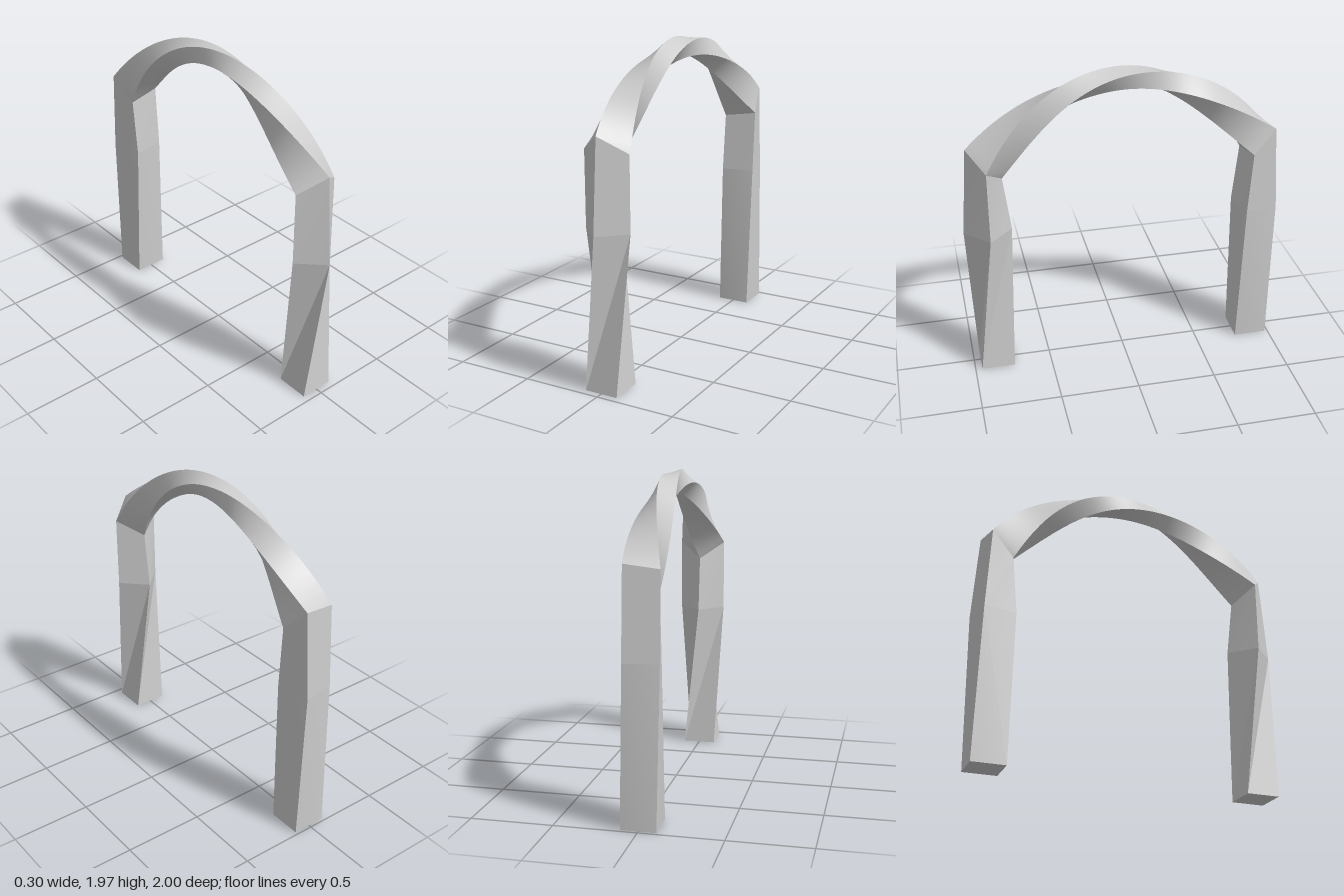
import * as THREE from 'three';
import { toCreasedNormals } from 'three/addons/utils/BufferGeometryUtils.js';

const DEG = Math.PI / 180;
const R = 0.15; // half diagonal of the square bar
const FRONT_Z = 0.85, BACK_Z = -0.875;

// Square section: centre (y, z), lean of its outward axis, twist and half diagonal
function section(y, z, lean, twist, radius = R) {
  return [0, 1, 2, 3].map((i) => {
    const a = (twist + i * 90) * DEG;
    const out = Math.sin(a) * radius;
    return new THREE.Vector3(
      Math.cos(a) * radius,
      y + out * Math.sin(lean * DEG),
      z + out * Math.cos(lean * DEG)
    );
  });
}

// Skin a run of square sections, with optional end caps
function skin(name, rings, { capStart = false, capEnd = false } = {}) {
  const pos = [];
  const tri = (...pts) => pts.forEach((p) => pos.push(p.x, p.y, p.z));
  for (let k = 0; k < rings.length - 1; k++) {
    const a = rings[k], b = rings[k + 1];
    for (let i = 0; i < 4; i++) {
      const j = (i + 1) % 4;
      tri(a[j], a[i], b[i]);
      tri(a[j], b[i], b[j]);
    }
  }
  if (capStart) {
    const [p, q, r, s] = rings[0];
    tri(p, q, r);
    tri(p, r, s);
  }
  if (capEnd) {
    const [p, q, r, s] = rings[rings.length - 1];
    tri(p, r, q);
    tri(p, s, r);
  }
  const geo = new THREE.BufferGeometry();
  geo.setAttribute('position', new THREE.Float32BufferAttribute(pos, 3));
  const mesh = new THREE.Mesh(
    toCreasedNormals(geo, 25 * DEG),
    new THREE.MeshStandardMaterial({ color: 0xcccccc })
  );
  mesh.name = name;
  return mesh;
}

export function createModel() {
  const group = new THREE.Group();
  group.name = 'twistedArch';

  // Arch: a parabola that twists 236 degrees and thins towards the crown
  const arch = [];
  const steps = 48;
  for (let k = 0; k <= steps; k++) {
    const t = k / steps;
    const bulge = 4 * t * (1 - t);
    arch.push(section(
      1.43 + 0.48 * bulge,
      THREE.MathUtils.lerp(FRONT_Z, BACK_Z, t),
      90 - Math.atan(1 - 2 * t) / DEG,
      236 * t,
      R * (1 - 0.525 * bulge)
    ));
  }

  // Front leg: twists an eighth turn from the square foot to the knee
  const frontKnee = section(0.97, FRONT_Z, 0, 0);
  group.add(
    skin('frontLowerLeg', [section(0, FRONT_Z, 0, 45), frontKnee], { capStart: true }),
    skin('frontUpperLeg', [frontKnee, arch[0]])
  );

  group.add(skin('arch', arch));

  // Back leg: straight upper part, then twists down to a square foot
  const backKnee = section(0.97, BACK_Z, 180, 236);
  group.add(
    skin('backUpperLeg', [arch[steps], backKnee]),
    skin('backLowerLeg', [backKnee, section(0, BACK_Z, 180, 315)], { capEnd: true })
  );

  return group;
}
